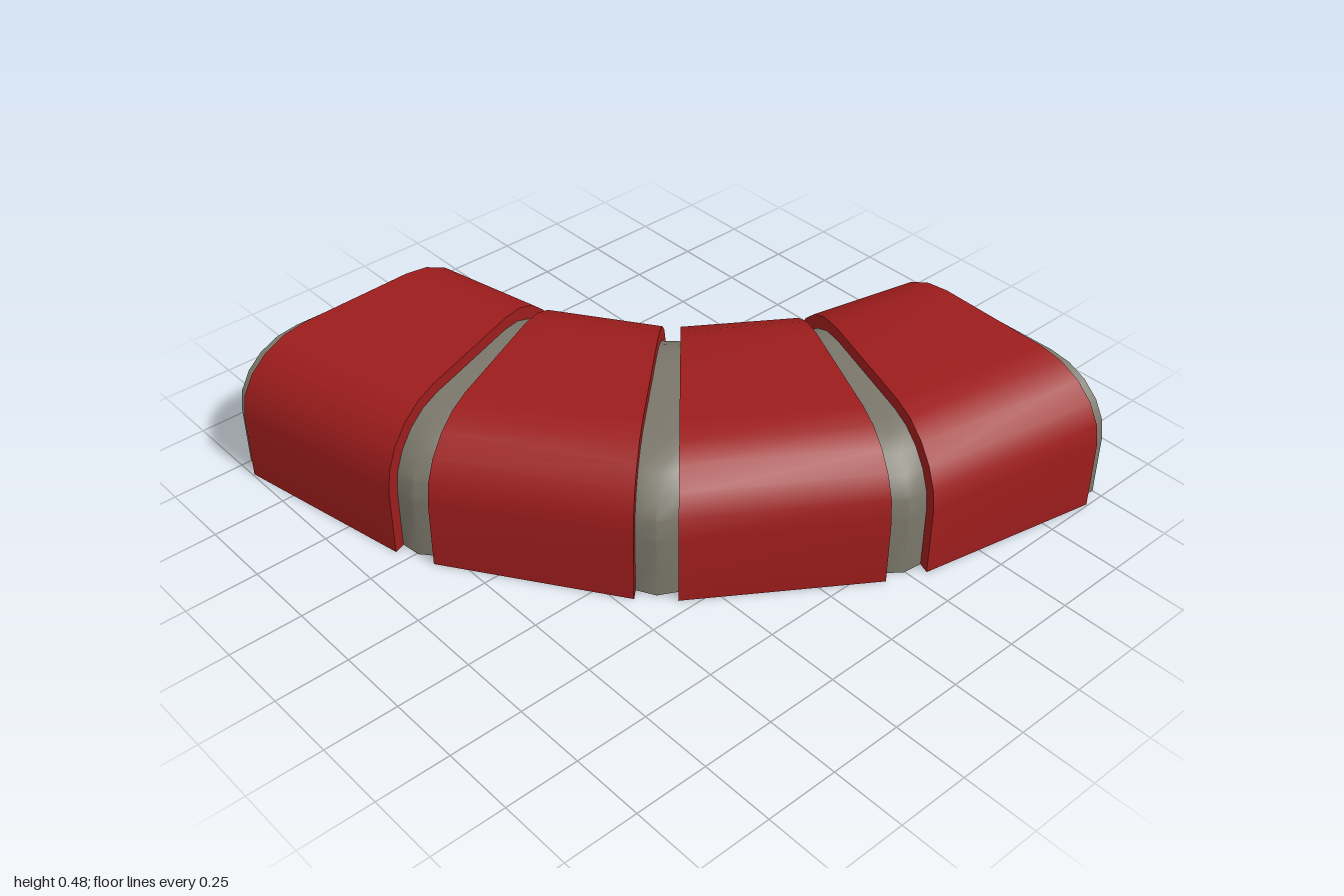
import * as THREE from 'three';
import { toCreasedNormals } from 'three/addons/utils/BufferGeometryUtils.js';

const RED = new THREE.MeshStandardMaterial({ color: 0x9c1c1c });
const GREY = new THREE.MeshStandardMaterial({ color: 0x7a766a });
const V = (x, z) => new THREE.Vector2(x, z);

// Upright arch outline over the floor line from inner to outer point
function section({ inner, outer }, height, rx, ry, steps = 5) {
  const width = inner.distanceTo(outer);
  const pts = [];
  const add = (s, y) => {
    const p = inner.clone().lerp(outer, s / width);
    pts.push(new THREE.Vector3(p.x, y, p.y));
  };
  add(0, 0);
  for (let side = 0; side < 2; side++) {
    for (let i = 0; i <= steps; i++) {
      const a = ((side ? steps - i : i) / steps) * Math.PI / 2;
      const s = rx * (1 - Math.cos(a));
      add(side ? width - s : s, height - ry * (1 - Math.sin(a)));
    }
  }
  add(width, 0);
  return pts;
}

// Closed solid through a row of matching outlines
function loft(name, sections, material) {
  const pos = [];
  const tri = (...ps) => ps.forEach(p => pos.push(p.x, p.y, p.z));
  const n = sections[0].length;
  for (let k = 0; k < sections.length - 1; k++) {
    const a = sections[k], b = sections[k + 1];
    for (let j = 0; j < n; j++) {
      const m = (j + 1) % n;
      tri(a[j], a[m], b[j]);
      tri(a[m], b[m], b[j]);
    }
  }
  const first = sections[0], last = sections[sections.length - 1];
  for (let j = 1; j < n - 1; j++) {
    tri(first[0], first[j + 1], first[j]);
    tri(last[0], last[j], last[j + 1]);
  }
  const geo = new THREE.BufferGeometry();
  geo.setAttribute('position', new THREE.Float32BufferAttribute(pos, 3));
  const mesh = new THREE.Mesh(toCreasedNormals(geo, 0.6), material);
  mesh.name = name;
  return mesh;
}

// Narrow a floor line at both ends
const inset = ({ inner, outer }, d) => {
  const step = outer.clone().sub(inner).setLength(d);
  return { inner: inner.clone().add(step), outer: outer.clone().sub(step) };
};
// Line halfway between two others, pushed out a little at the outer bend
const between = (a, b) => {
  const inner = a.inner.clone().lerp(b.inner, 0.5);
  const outer = a.outer.clone().lerp(b.outer, 0.5);
  outer.add(outer.clone().sub(inner).setLength(0.02));
  return { inner, outer };
};

export function createModel() {
  const group = new THREE.Group();
  group.name = 'curvedBarrier';

  // Start and end lines of the shells; the second half mirrors across the diagonal
  const half = [
    { inner: V(-0.97, 0.045), outer: V(-0.93, 0.995) },
    { inner: V(-0.62, -0.03), outer: V(-0.30, 0.87) },
    { inner: V(-0.575, -0.045), outer: V(-0.175, 0.815) },
    { inner: V(-0.28, -0.245), outer: V(0.36, 0.455) },
  ];
  const swap = p => V(p.y, p.x);
  const lines = [...half, ...half.map(l => ({ inner: swap(l.inner), outer: swap(l.outer) })).reverse()];

  // Red outer shells
  for (let i = 0; i < lines.length; i += 2) {
    const ends = [lines[i], lines[i + 1]].map(l => section(l, 0.48, 0.27, 0.24));
    group.add(loft('shell' + (i / 2 + 1), ends, RED));
  }

  // Grey core showing in the gaps
  const core = l => section(l, 0.438, 0.24, 0.22);
  for (let i = 1; i < lines.length - 1; i += 2) {
    const a = inset(lines[i], 0.04), b = inset(lines[i + 1], 0.04);
    group.add(loft('coreJoint' + (i + 1) / 2, [a, between(a, b), b].map(core), GREY));
  }

  // Grey core ends, cut square
  const startCut = { inner: V(-1, 0.09), outer: V(-1, 0.965) };
  const endCut = { inner: V(0.09, -1), outer: V(0.965, -1) };
  group.add(loft('coreStart', [startCut, inset(lines[0], 0.04)].map(core), GREY));
  group.add(loft('coreEnd', [inset(lines[7], 0.04), endCut].map(core), GREY));
  return group;
}
